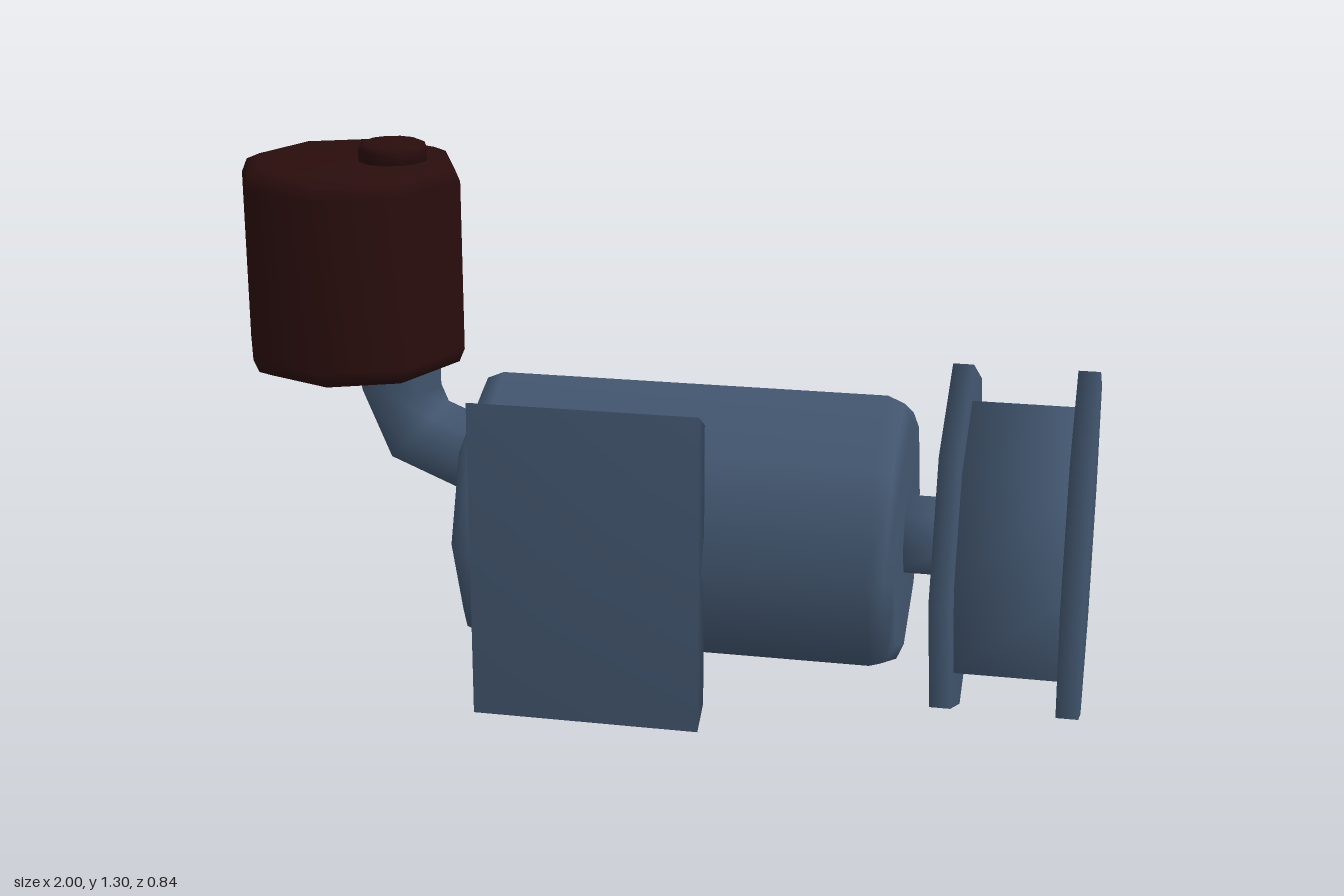
import * as THREE from 'three';
import { mergeVertices } from 'three/addons/utils/BufferGeometryUtils.js';

const AXIS_Y = 0.42;

export function createModel() {
  const model = new THREE.Group();
  const steel = new THREE.MeshStandardMaterial({ name: 'slate blue steel', color: 0x42566f });
  const tankPaint = new THREE.MeshStandardMaterial({ name: 'dark maroon', color: 0x2a0d0d });

  const add = (name, geometry, material, x, y, z) => {
    const mesh = new THREE.Mesh(geometry, material);
    mesh.name = name;
    mesh.position.set(x, y, z);
    model.add(mesh);
    return mesh;
  };

  // Smooth turned solid along +y from y = 0, with an optional bevel at each end
  const turned = (radius, length, bottomBevel = 0, topBevel = bottomBevel, sides = 8) => {
    const pts = [[0, 0]];
    if (bottomBevel) pts.push([radius - bottomBevel, 0], [radius - bottomBevel * 0.3, bottomBevel * 0.3]);
    pts.push([radius, bottomBevel], [radius, length - topBevel]);
    if (topBevel) pts.push([radius - topBevel * 0.3, length - topBevel * 0.3], [radius - topBevel, length]);
    pts.push([0, length]);
    return new THREE.LatheGeometry(pts.map(([x, y]) => new THREE.Vector2(x, y)), sides);
  };

  // Motor body, shaft and flanged pulley on one axis
  const alongX = (name, x0, x1, radius, bevel = 0) =>
    add(name, turned(radius, x1 - x0, bevel).rotateZ(-Math.PI / 2), steel, x0, AXIS_Y, 0);
  alongX('motorBody', -0.44, 0.58, 0.334, 0.055);
  alongX('shaft', 0.55, 0.69, 0.097);
  alongX('innerFlange', 0.67, 0.717, 0.42);
  alongX('pulleyDrum', 0.7, 0.96, 0.334);
  alongX('outerFlange', 0.95, 1.0, 0.42);

  // Recessed outlet ring on the end of the body
  const ringProfile = [[0.155, 0], [0.155, 0.05], [0.145, 0.06], [0.105, 0.06], [0.095, 0.05], [0.09, 0.015], [0, 0.012]];
  const ring = new THREE.LatheGeometry(ringProfile.map(([x, y]) => new THREE.Vector2(x, y)), 8);
  add('outletRing', ring.rotateZ(Math.PI / 2), steel, -0.438, 0.345, -0.07);

  // Elbow pipe from the body up to the tank
  const pipeZ = 0.03, pipeR = 0.1, bend = 0.155;
  add('pipeBend', new THREE.TorusGeometry(bend, pipeR, 8, 2, Math.PI / 2).rotateZ(Math.PI / 2).rotateZ(Math.PI / 2),
    steel, -0.475, 0.72, pipeZ);
  const upright = new THREE.CylinderGeometry(pipeR, pipeR, 0.08, 8, 1, true);
  add('pipeTop', upright, steel, -0.63, 0.76, pipeZ);
  const level = new THREE.CylinderGeometry(pipeR, pipeR, 0.075, 8, 1, true).rotateZ(Math.PI / 2);
  add('pipeEnd', level, steel, -0.4375, 0.565, pipeZ);

  // Tank and filler cap
  add('tank', turned(0.265, 0.49, 0.045), tankPaint, -0.735, 0.77, pipeZ);
  add('fillerCap', turned(0.08, 0.06, 0, 0.016, 12), tankPaint, -0.63, 1.242, pipeZ);

  // Mounting plate, with its top and bottom edges sloping in towards the body
  const plate = new THREE.BoxGeometry(0.525, 0.75, 0.07);
  plate.deleteAttribute('normal');
  plate.deleteAttribute('uv');
  const pos = plate.attributes.position;
  for (let i = 0; i < pos.count; i++) {
    if (pos.getZ(i) < 0) pos.setY(i, Math.sign(pos.getY(i)) * 0.336);
  }
  const smoothPlate = mergeVertices(plate);
  smoothPlate.computeVertexNormals();
  add('mountingPlate', smoothPlate, steel, -0.1075, AXIS_Y, 0.335);

  // Four bolt heads behind the plate
  for (const x of [-0.285, 0.078]) {
    for (const side of [-1, 1]) {
      add('plateBolt', turned(0.054, 0.055, 0, 0.01).rotateX(-Math.PI / 2), steel, x, AXIS_Y + side * 0.268, 0.31);
    }
  }
  return model;
}
